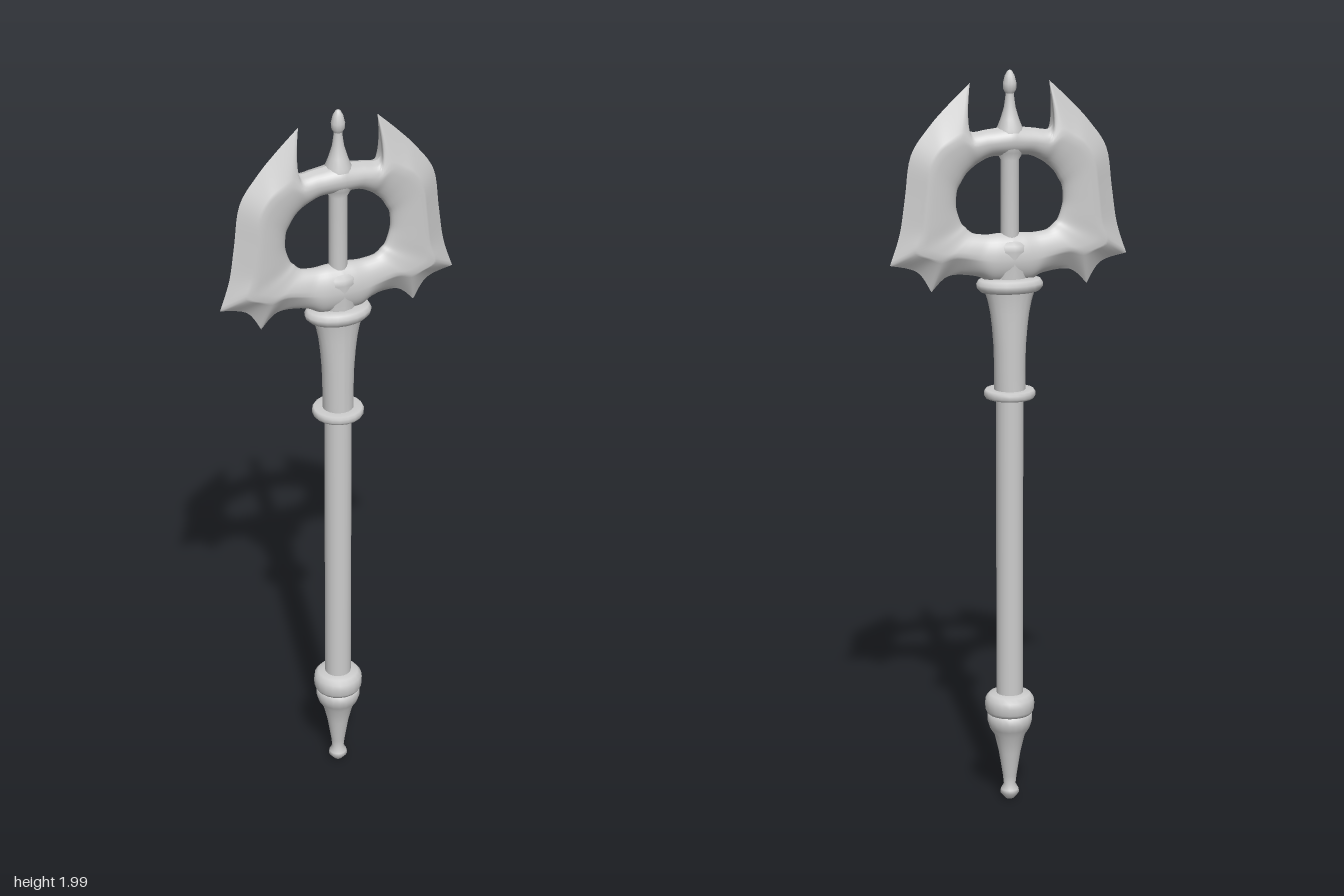
import * as THREE from 'three';

const material = new THREE.MeshStandardMaterial({ color: 0xcccccc, side: THREE.DoubleSide });

function addMesh(group, name, geometry) {
  const mesh = new THREE.Mesh(geometry, material);
  mesh.name = name;
  group.add(mesh);
  return mesh;
}

// Turned part from [radius, height] pairs
function turned(group, name, profile, sides = 20) {
  const points = profile.map(([r, y]) => new THREE.Vector2(r, y));
  return addMesh(group, name, new THREE.LatheGeometry(points, sides));
}

// Half of the double blade, from top centre round to bottom centre:
// outer edge x, y | thickest line x, y | hole edge x, y | half thickness
const STATIONS = [
  [0, 1.86, 0, 1.82, 0, 1.78, 0.042],
  [0.06, 1.85, 0.06, 1.815, 0.05, 1.78, 0.035],
  [0.115, 1.855, 0.1, 1.81, 0.085, 1.765, 0.034],
  [0.106, 1.97, 0.135, 1.83, 0.105, 1.75, 0.034],
  [0.163, 1.917, 0.165, 1.82, 0.12, 1.735, 0.034],
  [0.215, 1.862, 0.195, 1.8, 0.132, 1.715, 0.034],
  [0.264, 1.79, 0.22, 1.755, 0.142, 1.695, 0.034],
  [0.28, 1.685, 0.23, 1.68, 0.145, 1.66, 0.034],
  [0.295, 1.59, 0.24, 1.6, 0.14, 1.635, 0.034],
  [0.322, 1.51, 0.255, 1.55, 0.13, 1.61, 0.034],
  [0.25, 1.49, 0.22, 1.53, 0.12, 1.6, 0.034],
  [0.212, 1.435, 0.19, 1.525, 0.11, 1.59, 0.034],
  [0.165, 1.475, 0.15, 1.53, 0.095, 1.582, 0.034],
  [0.09, 1.47, 0.09, 1.52, 0.06, 1.578, 0.036],
  [0.05, 1.45, 0.045, 1.515, 0.03, 1.58, 0.042],
  [0, 1.45, 0, 1.515, 0, 1.58, 0.045],
];
const CORNERS = [0, 3, 9, 11, 15]; // stations where the outer edge turns sharply

function spline(column, from, to) {
  return new THREE.SplineCurve(STATIONS.slice(from, to + 1)
    .map(s => new THREE.Vector2(s[column], s[column + 1])));
}

function bladeGeometry() {
  const perStation = 5, steps = 8, last = STATIONS.length - 1;
  const middle = spline(2, 0, last), inner = spline(4, 0, last);
  const edges = CORNERS.slice(1).map((to, k) => spline(0, CORNERS[k], to));
  const half = [];
  for (let n = 0; n <= last * perStation; n++) {
    const s = n / perStation;
    let k = 0;
    while (k < edges.length - 1 && s > CORNERS[k + 1]) k++;
    const outer = edges[k].getPoint((s - CORNERS[k]) / (CORNERS[k + 1] - CORNERS[k]));
    const mid = middle.getPoint(s / last), hole = inner.getPoint(s / last);
    const i = Math.min(Math.floor(s), last - 1);
    const h = THREE.MathUtils.lerp(STATIONS[i][6], STATIONS[i + 1][6], s - i);
    // The connecting bars are rounded outside, the blades ground to an edge
    const rounding = Math.max(1 - THREE.MathUtils.smoothstep(s, 1.5, 3),
      THREE.MathUtils.smoothstep(s, 12, 13.5));
    const section = [];
    for (let j = 0; j <= steps; j++) {
      const t = j / steps;
      const p = outer.clone().lerp(mid, t);
      const z = h * THREE.MathUtils.lerp(t, Math.sqrt(1 - (1 - t) ** 2), rounding);
      section.push([p.x, p.y, z]);
    }
    for (let j = 1; j <= steps; j++) {
      const a = j / steps * Math.PI / 2;
      const p = hole.clone().lerp(mid, 1 - Math.sin(a));
      section.push([p.x, p.y, j === steps ? 0 : h * Math.cos(a)]);
    }
    const back = section.slice(0, -1).reverse().map(([x, y, z]) => [x, y, -z]);
    half.push([...section, ...back]);
  }
  // Mirror the half and close the ring
  const mirrored = half.slice(1, -1).reverse().map(r => r.map(([x, y, z]) => [-x, y, z]));
  const rings = [...half, ...mirrored];
  const width = rings[0].length, index = [];
  rings.forEach((_, u) => {
    const a = u * width, b = ((u + 1) % rings.length) * width;
    for (let v = 0; v < width - 1; v++) {
      index.push(a + v, a + v + 1, b + v, b + v, a + v + 1, b + v + 1);
    }
  });
  const geometry = new THREE.BufferGeometry();
  geometry.setAttribute('position', new THREE.Float32BufferAttribute(rings.flat(2), 3));
  geometry.setIndex(index);
  geometry.computeVertexNormals();
  return geometry;
}

export function createModel() {
  const group = new THREE.Group();

  // Pommel with a button end and a rounded ring above
  turned(group, 'pommel', [[0, 0.01], [0.012, 0.013], [0.026, 0.03], [0.024, 0.04], [0.016, 0.055],
    [0.019, 0.08], [0.03, 0.15], [0.042, 0.2], [0.055, 0.22], [0.061, 0.24], [0.06, 0.262], [0.045, 0.265]]);
  turned(group, 'pommelRing', [[0.045, 0.26], [0.06, 0.262], [0.066, 0.272], [0.067, 0.29],
    [0.065, 0.305], [0.055, 0.317], [0.034, 0.32]]);

  // Handle and its guard disc
  turned(group, 'handle', [[0.036, 0.31], [0.036, 1.15]]);
  turned(group, 'guardDisc', [[0.034, 1.142], [0.064, 1.142], [0.068, 1.148], [0.068, 1.158],
    [0.064, 1.164], [0.04, 1.164]]);

  // Neck, flaring sideways only
  const neck = turned(group, 'neck', [[0.041, 1.16], [0.041, 1.22], [0.041, 1.28], [0.041, 1.33],
    [0.041, 1.37], [0.042, 1.4], [0.044, 1.425], [0.046, 1.44]]);
  const pos = neck.geometry.attributes.position;
  for (let i = 0; i < pos.count; i++) {
    const t = Math.max(0, (pos.getY(i) - 1.22) / 0.22);
    pos.setX(i, pos.getX(i) * (1 + 0.6 * t * t));
  }
  neck.geometry.computeVertexNormals();

  // Oval collar and socket under the blades
  turned(group, 'collar', [[0.035, 1.427], [0.057, 1.427], [0.064, 1.437], [0.065, 1.447],
    [0.06, 1.458], [0.045, 1.463], [0, 1.463]]).scale.x = 1.38;
  turned(group, 'socket', [[0.043, 1.455], [0.044, 1.5], [0.047, 1.535], [0.045, 1.55],
    [0.035, 1.56], [0.02, 1.565]], 12).scale.x = 1.1;

  addMesh(group, 'doubleBlade', bladeGeometry());

  // Central rod rising through the opening to a beaded finial
  turned(group, 'centralRod', [[0.024, 1.54], [0.024, 1.77], [0.035, 1.79], [0.04, 1.82], [0.034, 1.85],
    [0.024, 1.875], [0.015, 1.905], [0.011, 1.935], [0.011, 1.945]], 16);
  turned(group, 'finial', [[0.011, 1.94], [0.017, 1.95], [0.018, 1.965], [0.013, 1.985], [0.006, 1.997],
    [0, 2]], 12);

  group.position.y = 0;
  return group;
}
